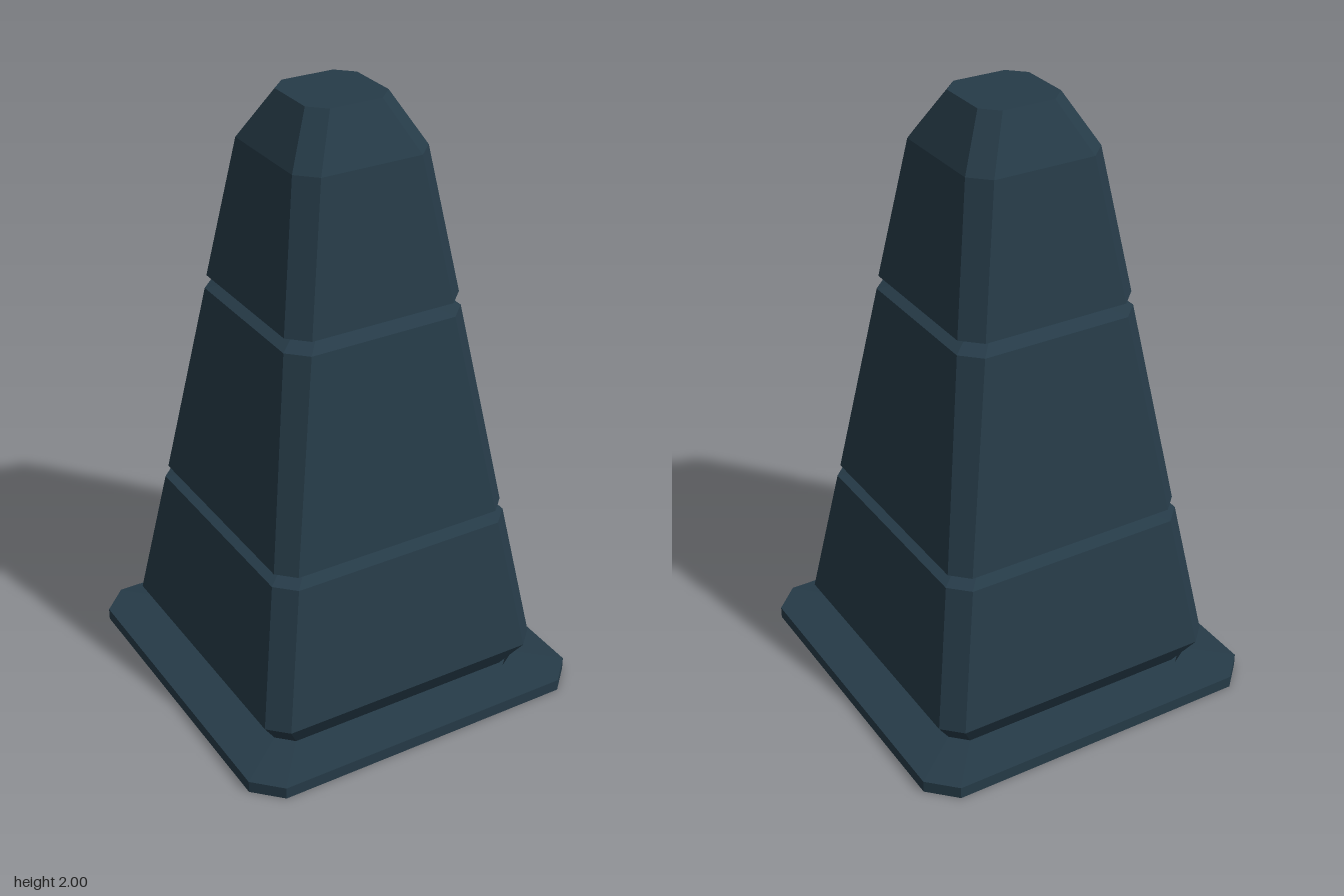
import * as THREE from 'three';

// Chamfered square ring: half width h, half length f of the straight sides.
function ring([y, h, f]) {
  return [[f, h], [h, f], [h, -f], [f, -h], [-f, -h], [-h, -f], [-h, f], [-f, h]]
    .map(([x, z]) => [x, y, z]);
}

// Skins consecutive rings with quads; optional cap on the last ring.
function loft(profile, capDirection = 0) {
  const rings = profile.map(ring);
  const positions = [];
  const tri = (a, b, c) => positions.push(...a, ...b, ...c);
  for (let i = 0; i < rings.length - 1; i++) {
    const a = rings[i], b = rings[i + 1];
    for (let k = 0; k < 8; k++) {
      const n = (k + 1) % 8;
      tri(a[k], a[n], b[n]);
      tri(a[k], b[n], b[k]);
    }
  }
  if (capDirection) {
    const r = capDirection > 0 ? rings[rings.length - 1] : rings[0];
    for (let k = 1; k < 7; k++) {
      if (capDirection > 0) tri(r[0], r[k], r[k + 1]);
      else tri(r[0], r[k + 1], r[k]);
    }
  }
  const geometry = new THREE.BufferGeometry();
  geometry.setAttribute('position', new THREE.Float32BufferAttribute(positions, 3));
  geometry.computeVertexNormals();
  return geometry;
}

export function createModel() {
  const slate = new THREE.MeshStandardMaterial({ color: 0x263b48 });
  slate.name = 'slateBlue';
  const group = new THREE.Group();
  group.name = 'trafficCone';
  const add = (name, geometry) => {
    const mesh = new THREE.Mesh(geometry, slate);
    mesh.name = name;
    group.add(mesh);
  };

  // Tapered body with two pinched grooves: [height, half width, side half length]
  const body = [
    [0.055, 0.44, 0.39],
    [0.15, 0.5, 0.44],
    [0.615, 0.425, 0.365],
    [0.637, 0.355, 0.305],
    [0.655, 0.415, 0.36],
    [1.33, 0.31, 0.25],
    [1.354, 0.25, 0.2],
    [1.375, 0.305, 0.245],
    [1.84, 0.23, 0.17],
    [2.0, 0.14, 0.088],
  ];
  add('coneBody', loft(body, 1));

  // Flat foot, sloping up slightly to the body, open in the middle
  add('baseFlange', loft([
    [0, 0.44, 0.375],
    [0, 0.6, 0.515],
    [0.04, 0.6, 0.515],
    [0.055, 0.44, 0.39],
  ]));

  // Hollow inside, following the body at a thin wall thickness
  const wall = 0.015;
  const inner = body.slice(1).map(([y, h, f]) => [y - (y === 2 ? wall : 0), h - wall, f - wall]);
  add('hollowInside', loft([...inner.reverse(), [0, 0.44, 0.375]], -1));

  return group;
}
